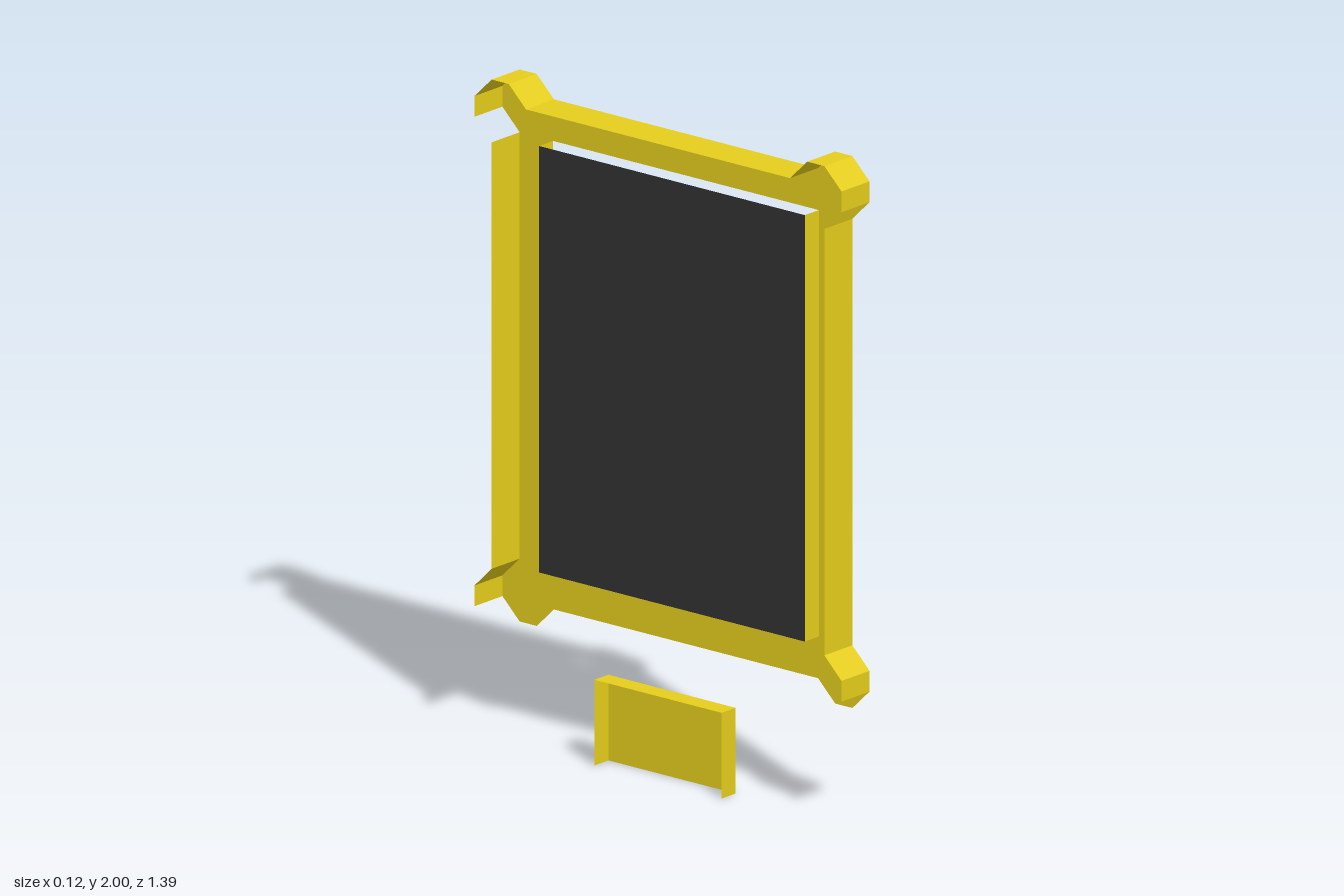
import * as THREE from 'three';

const yellow = new THREE.MeshStandardMaterial({ color: 0xe4cd1b, side: THREE.DoubleSide, flatShading: true });
const dark = new THREE.MeshStandardMaterial({ color: 0x333131, side: THREE.DoubleSide, flatShading: true });
const DEPTH = 0.0625;

// Thin walls along a closed outline, from depth zf to zb; the undersides stay open
function openWalls(points, zf, zb) {
  const v = [];
  points.forEach((a, i) => {
    const b = points[(i + 1) % points.length];
    if (b[0] - a[0] > 1e-6) return; // edge faces down
    const [af, ab, bf, bb] = [[...a, zf], [...a, zb], [...b, zf], [...b, zb]];
    v.push(...af, ...ab, ...bb, ...af, ...bb, ...bf);
  });
  const g = new THREE.BufferGeometry();
  g.setAttribute('position', new THREE.Float32BufferAttribute(v, 3));
  g.computeVertexNormals();
  return g;
}

// Counter-clockwise rectangle
const rect = (w, y0, y1) => [[-w, y0], [w, y0], [w, y1], [-w, y1]];
const toVectors = (pts) => pts.map((p) => new THREE.Vector2(...p));

export function createModel() {
  const model = new THREE.Group();
  model.name = 'framedPanel';
  const body = new THREE.Group();
  body.name = 'panelAssembly';
  body.rotation.y = Math.PI / 2; // face turned toward +x
  model.add(body);

  const add = (name, geometry, material, z = 0) => {
    const mesh = new THREE.Mesh(geometry, material);
    mesh.name = name;
    mesh.position.z = z;
    body.add(mesh);
  };

  // Frame outline: one knobbed corner mirrored into four
  const cy = 1.1625;
  const corner = [[0.63, 0.647], [0.695, 0.711], [0.695, 0.774], [0.63, 0.8375], [0.565, 0.8375], [0.5, 0.774]];
  const outline = [];
  for (const [sx, sy] of [[1, 1], [-1, 1], [-1, -1], [1, -1]]) {
    const pts = corner.map(([x, y]) => [x * sx, cy + y * sy]);
    outline.push(...(sx * sy > 0 ? pts : pts.reverse()));
  }
  const opening = rect(0.503, cy - 0.647, cy + 0.647).reverse();

  // Frame face with its opening
  const face = new THREE.Shape(toVectors(outline));
  face.holes.push(new THREE.Path(toVectors(opening)));
  add('frameFace', new THREE.ShapeGeometry(face), yellow, DEPTH);

  // Outer walls run full depth, inner walls end at the panel
  add('frameOuterWalls', openWalls(outline, DEPTH, -DEPTH), yellow);
  add('frameInnerWalls', openWalls(opening, DEPTH, 0), yellow);

  // Dark panel recessed in the frame
  add('panel', new THREE.ShapeGeometry(new THREE.Shape(toVectors(opening))), dark);

  // Plaque below the frame
  const plaque = rect(0.241, 0, 0.26);
  add('plaqueFace', new THREE.ShapeGeometry(new THREE.Shape(toVectors(plaque))), yellow);
  add('plaqueWalls', openWalls(plaque, 0, -DEPTH), yellow);

  return model;
}
